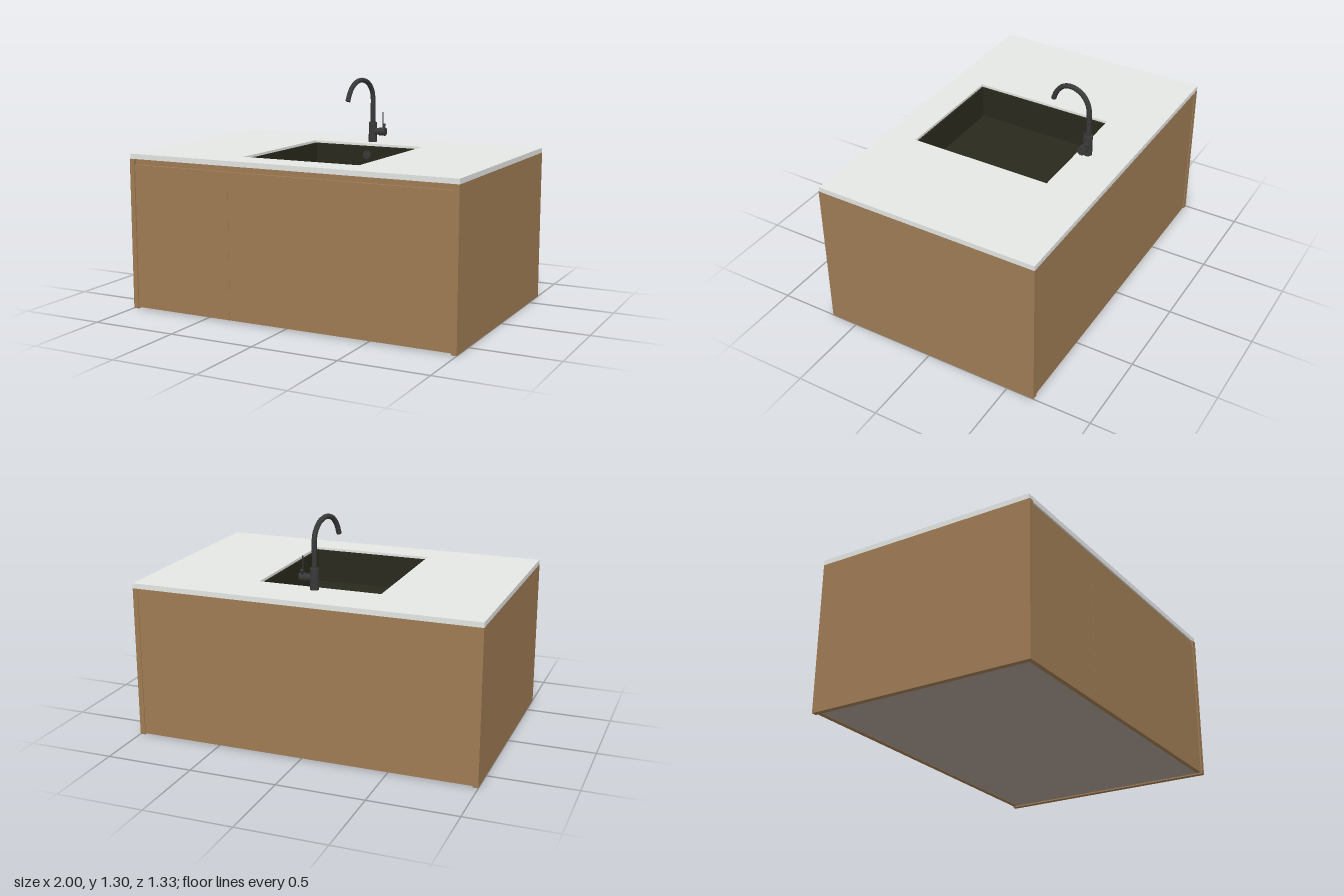
import * as THREE from 'three';

const mat = (name, color) => new THREE.MeshStandardMaterial({ name, color });

export function createModel() {
  const wood = mat('wood', 0x9f7c55);
  const stone = mat('pale stone', 0xe5e7e5);
  const basinMat = mat('dark basin', 0x2a291d);
  const metal = mat('black metal', 0x393939);
  const baseMat = mat('grey base', 0xa99c92);

  const model = new THREE.Group();
  model.name = 'sinkCabinet';

  const add = (parent, name, geometry, material, x = 0, y = 0, z = 0) => {
    const mesh = new THREE.Mesh(geometry, material);
    mesh.name = name;
    mesh.position.set(x, y, z);
    parent.add(mesh);
    return mesh;
  };
  // box given by its minimum and maximum corners
  const box = (parent, name, material, [x0, y0, z0], [x1, y1, z1]) =>
    add(parent, name, new THREE.BoxGeometry(x1 - x0, y1 - y0, z1 - z0), material,
      (x0 + x1) / 2, (y0 + y1) / 2, (z0 + z1) / 2);

  // cabinet shell
  const cabinet = new THREE.Group();
  cabinet.name = 'cabinet';
  model.add(cabinet);
  box(cabinet, 'rightSide', wood, [-1, 0, -0.663], [-0.97, 0.873, 0.663]);
  box(cabinet, 'leftSide', wood, [0.97, 0, -0.663], [1, 0.873, 0.663]);
  box(cabinet, 'backPanel', wood, [-0.97, 0.006, -0.658], [0.97, 0.873, -0.63]);
  box(cabinet, 'bottomPanel', baseMat, [-0.97, 0.008, -0.63], [0.97, 0.03, 0.63]);
  box(cabinet, 'innerFront', wood, [-0.97, 0.008, 0.61], [0.97, 0.873, 0.63]);
  box(cabinet, 'topRail', wood, [-0.97, 0.842, 0.63], [0.97, 0.873, 0.648]);

  // three front panels with hairline seams
  const seams = [-0.97, -0.35, 0.35, 0.97];
  for (let i = 0; i < 3; i++) {
    box(cabinet, 'frontDoor', wood,
      [seams[i] + 0.0005, 0.008, 0.63], [seams[i + 1] - 0.0005, 0.84, 0.656]);
  }

  // countertop with rectangular cutout
  const rect = (path, x0, y0, x1, y1) =>
    path.moveTo(x0, y0).lineTo(x1, y0).lineTo(x1, y1).lineTo(x0, y1).closePath();
  const hole = { x: 0.358, back: -0.372, front: 0.476 };
  const slab = rect(new THREE.Shape(), -1, -0.657, 1, 0.663);
  slab.holes.push(rect(new THREE.Path(), -hole.x, -hole.front, hole.x, -hole.back));
  const top = new THREE.ExtrudeGeometry(slab, { depth: 0.029, bevelEnabled: false });
  top.rotateX(-Math.PI / 2);
  add(model, 'countertop', top, stone, 0, 0.873, 0);

  // basin set into the cutout, its rim just below the worktop surface
  const basin = new THREE.Group();
  basin.name = 'basin';
  model.add(basin);
  const floorY = 0.69, rimY = 0.888, t = 0.01;
  const hx = hole.x - 0.001, back = hole.back + 0.001, front = hole.front - 0.001;
  box(basin, 'basinFloor', basinMat, [-hx, floorY - t, back], [hx, floorY, front]);
  box(basin, 'basinBack', basinMat, [-hx, floorY, back], [hx, rimY, back + t]);
  box(basin, 'basinFront', basinMat, [-hx, floorY, front - t], [hx, rimY, front]);
  for (const s of [-1, 1]) {
    add(basin, 'basinSide', new THREE.BoxGeometry(t, rimY - floorY, front - back - 2 * t), basinMat,
      s * (hx - t / 2), (rimY + floorY) / 2, (front + back) / 2);
  }
  const overflow = add(basin, 'overflowCover', new THREE.CylinderGeometry(0.025, 0.025, 0.008, 24),
    metal, 0, 0.835, back + t + 0.004);
  overflow.rotation.x = Math.PI / 2;

  // tap, with spout turned slightly to one side
  const tap = new THREE.Group();
  tap.name = 'tap';
  tap.position.set(0.003, 0, -0.433);
  model.add(tap);
  add(tap, 'tapBody', new THREE.CylinderGeometry(0.025, 0.025, 0.12, 24), metal, 0, 0.967, 0);
  const path = new THREE.CatmullRomCurve3([
    [0, 1.0], [0, 1.1], [0, 1.18], [0.014, 1.228], [0.056, 1.272], [0.122, 1.288],
    [0.182, 1.27], [0.225, 1.226], [0.25, 1.17],
  ].map(([s, y]) => new THREE.Vector3(0, y, s)));
  const spout = add(tap, 'spout', new THREE.TubeGeometry(path, 60, 0.0145, 16), metal);
  spout.rotation.y = -0.19;
  const tip = add(spout, 'spoutTip', new THREE.CircleGeometry(0.0145, 16), metal, 0, 1.17, 0.25);
  tip.quaternion.setFromUnitVectors(new THREE.Vector3(0, 0, 1), path.getTangent(1));

  // side handle with a tilted boss and thin lever
  const stem = add(tap, 'handleStem', new THREE.CylinderGeometry(0.02, 0.02, 0.04, 20), metal, 0.032, 0.972, 0);
  const knob = add(tap, 'handleKnob', new THREE.CylinderGeometry(0.025, 0.025, 0.038, 24), metal, 0.066, 0.972, 0);
  stem.rotation.z = knob.rotation.z = Math.PI / 2;
  const boss = add(tap, 'leverBoss', new THREE.CylinderGeometry(0.008, 0.008, 0.05, 12), metal, 0.066, 0.995, -0.014);
  boss.rotation.x = -0.5;
  add(tap, 'lever', new THREE.CylinderGeometry(0.003, 0.003, 0.11, 10), metal, 0.066, 1.037, -0.005);

  return model;
}
